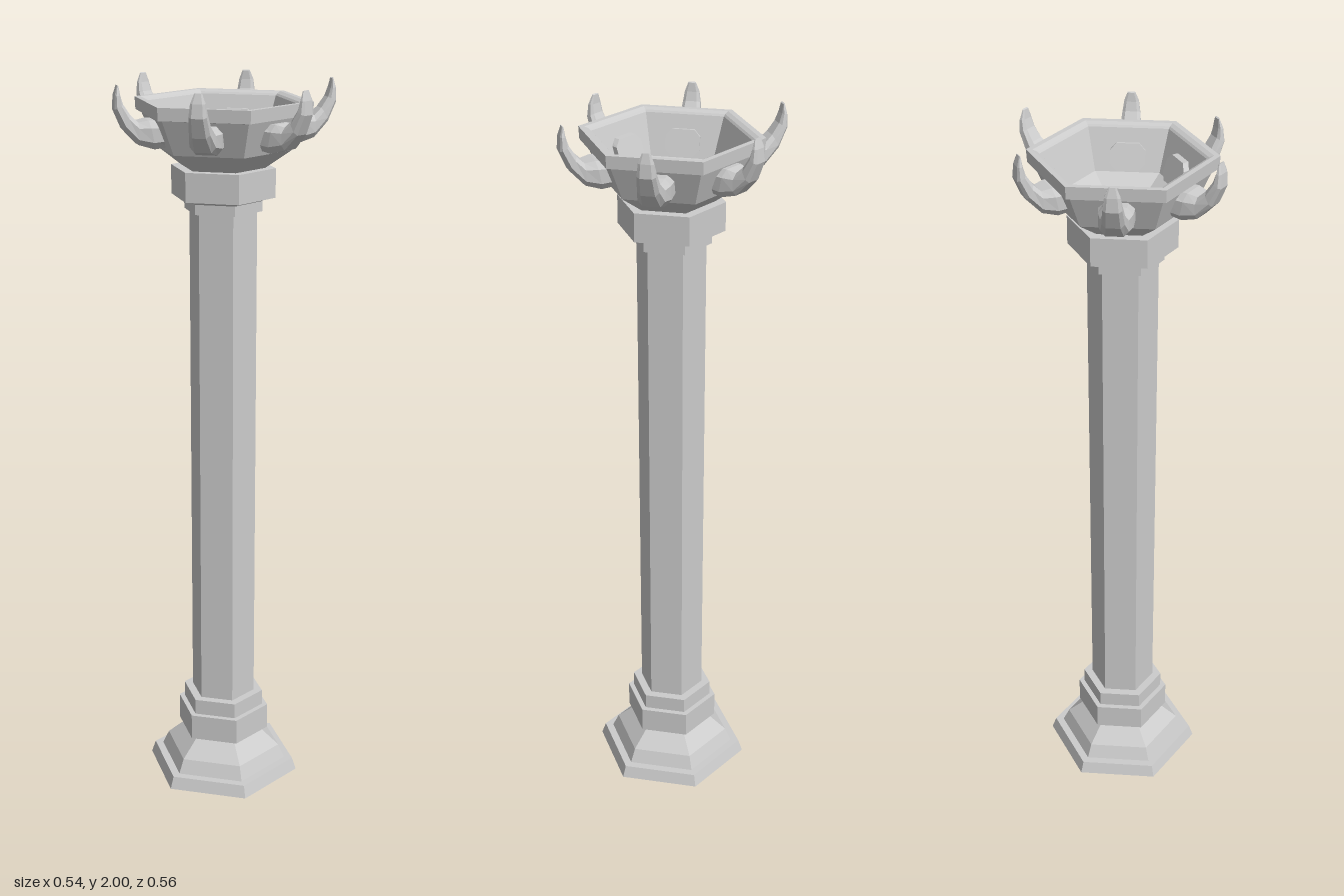
import * as THREE from 'three';

const material = new THREE.MeshStandardMaterial({ color: 0xcccccc, flatShading: true });

function addMesh(parent, name, geometry) {
  const flat = geometry.index ? geometry.toNonIndexed() : geometry;
  flat.computeVertexNormals();
  const mesh = new THREE.Mesh(flat, material);
  mesh.name = name;
  parent.add(mesh);
  return mesh;
}

// Six-sided turned part with corners on the x axis; profile is [radius, height]
function hexPart(parent, name, profile) {
  const points = profile.map(([r, y]) => new THREE.Vector2(r, y));
  return addMesh(parent, name, new THREE.LatheGeometry(points, 6, Math.PI / 2));
}

// Horn stations: lower [r, y], upper [r, y], half width
const stations = [
  [0.133, 1.845, 0.156, 1.91, 0.045],
  [0.185, 1.838, 0.2, 1.912, 0.042],
  [0.225, 1.85, 0.225, 1.907, 0.034],
  [0.262, 1.89, 0.243, 1.925, 0.027],
  [0.283, 1.94, 0.26, 1.952, 0.023],
  [0.28, 1.975, 0.266, 1.975, 0.019],
  [0.272, 2.0, 0.268, 1.998, 0.01],
];

// Chamfered cross-section: [width factor, position from lower to upper]
const section = [[0.65, 0], [1, 0.25], [1, 0.75], [0.65, 1], [-0.65, 1], [-1, 0.75], [-1, 0.25], [-0.65, 0]];

// Curved horn pointing along +z, its outer end moved by shift
function hornGeometry(shift) {
  const n = section.length;
  const last = stations.length - 1;
  const positions = [];
  const index = [];
  stations.forEach(([lr, ly, ur, uy, w], i) => {
    const move = shift * (0.5 + 0.5 * i / last);
    for (const [f, t] of section) {
      positions.push(f * w, ly + (uy - ly) * t, lr + (ur - lr) * t + move);
    }
  });
  for (let i = 0; i < last; i++) {
    for (let j = 0; j < n; j++) {
      const a = i * n + j;
      const b = i * n + (j + 1) % n;
      index.push(a, b, b + n, a, b + n, a + n);
    }
  }
  for (let j = 1; j < n - 1; j++) {
    index.push(0, j + 1, j);
    index.push(last * n, last * n + j, last * n + j + 1);
  }
  const geometry = new THREE.BufferGeometry();
  geometry.setAttribute('position', new THREE.Float32BufferAttribute(positions, 3));
  geometry.setIndex(index);
  return geometry;
}

export function createModel() {
  const model = new THREE.Group();
  model.name = 'hexagonalBrazierColumn';
  const core = new THREE.Group();
  core.name = 'column';
  core.position.set(-0.004, 0, 0.005);
  model.add(core);

  // Flared foot, hollow underneath
  hexPart(core, 'foot', [
    [0, 0.13], [0.095, 0.13], [0.1, 0.08], [0.165, 0.035], [0.19, 0.03], [0.2, 0],
    [0.222, 0], [0.21, 0.035], [0.186, 0.035], [0.168, 0.075], [0.105, 0.13], [0, 0.13],
  ]);

  // Stepped rings above the foot
  hexPart(core, 'lowerRing', [[0, 0.13], [0.133, 0.13], [0.133, 0.205], [0, 0.205]]);
  hexPart(core, 'lowerCollar', [[0, 0.2], [0.117, 0.2], [0.117, 0.25], [0, 0.25]]);

  hexPart(core, 'shaft', [[0, 0.24], [0.092, 0.24], [0.092, 1.68], [0, 1.68]]);

  // Capital under the bowl
  hexPart(core, 'upperCollar', [[0, 1.668], [0.106, 1.668], [0.106, 1.695], [0.118, 1.705], [0, 1.705]]);
  hexPart(core, 'upperRing', [[0, 1.705], [0.141, 1.705], [0.141, 1.782], [0, 1.782]]);

  // Open bowl with a banded rim
  hexPart(core, 'bowl', [
    [0, 1.78], [0.11, 1.78], [0.182, 1.83], [0.222, 1.92], [0.236, 1.922], [0.238, 1.955],
    [0.222, 1.955], [0.21, 1.95], [0.205, 1.945], [0.165, 1.84], [0.095, 1.8], [0.09, 1.797], [0, 1.797],
  ]);

  // One horn through each bowl face, with slightly different reach
  const reaches = [0.272, 0.292, 0.31, 0.285, 0.31, 0.292];
  reaches.forEach((reach, k) => {
    const horn = addMesh(core, 'horn' + (k + 1), hornGeometry(reach - 0.283));
    horn.rotation.y = k * Math.PI / 3;
  });
  return model;
}
